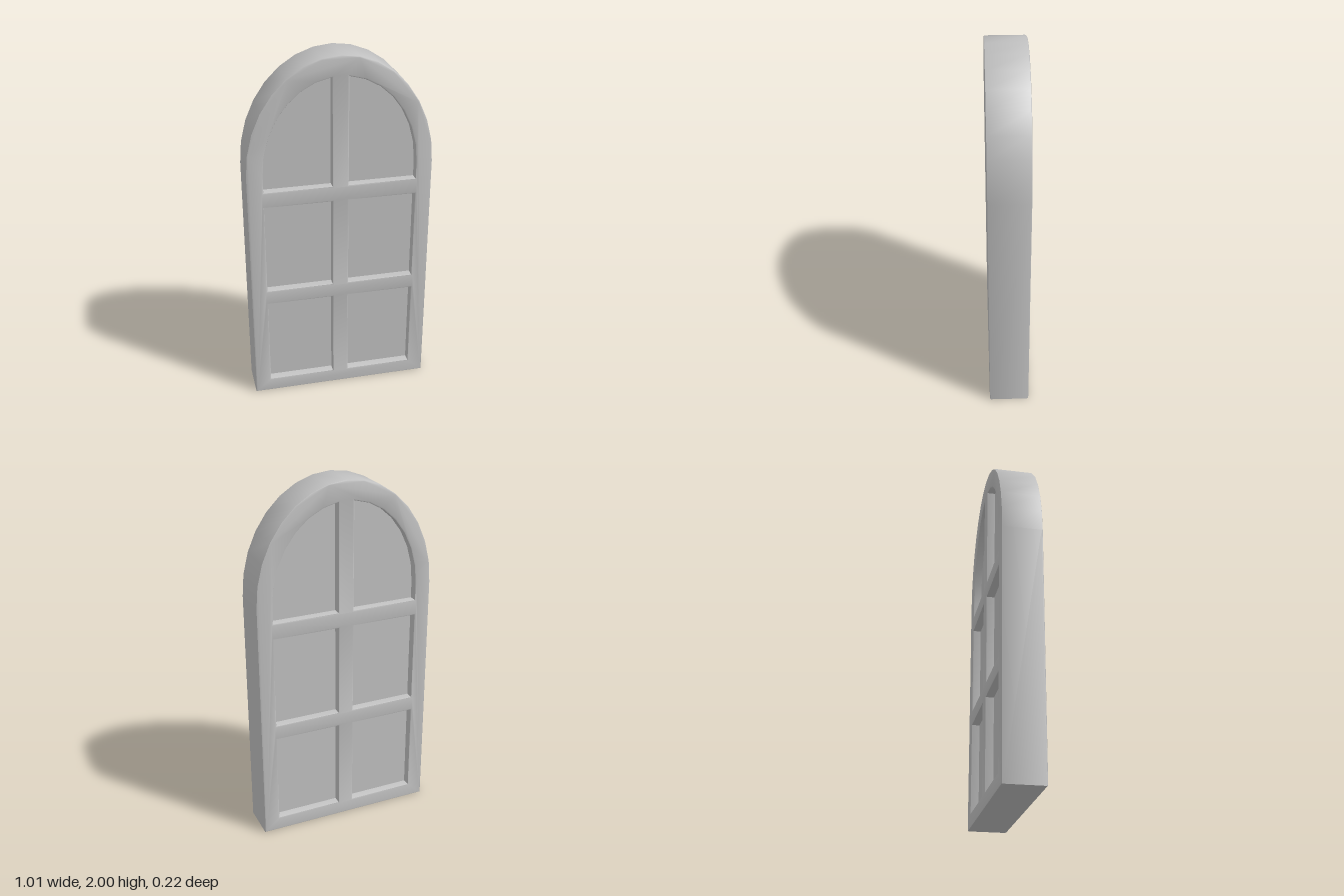
import * as THREE from 'three';
import { toCreasedNormals } from 'three/addons/utils/BufferGeometryUtils.js';

const SPRING = 1.38;      // height where the arch begins
const DEPTH = 0.222;
const BEVEL = 0.008;

// points of an elliptical arc around the arch centre
function arc(rx, ry, from, to, steps) {
  const pts = [];
  for (let i = 0; i <= steps; i++) {
    const a = from + (to - from) * i / steps;
    pts.push(new THREE.Vector2(rx * Math.cos(a), SPRING + ry * Math.sin(a)));
  }
  return pts;
}

// closed outline with a straight foot and an arched top
function archOutline(halfWidth, rise, bottom) {
  return [
    new THREE.Vector2(-halfWidth, bottom),
    new THREE.Vector2(halfWidth, bottom),
    ...arc(halfWidth, rise, 0, Math.PI, 16),
  ];
}

// one pane opening; side mirrors it across the middle bar
function opening(points, side) {
  return new THREE.Path(points.map(p => new THREE.Vector2(p.x * side, p.y)));
}

export function createModel() {
  const group = new THREE.Group();
  group.name = 'archedWindow';
  const grey = new THREE.MeshStandardMaterial({ color: 0xc0c0c0 });
  grey.name = 'grey';

  // frame with six openings
  const inner = 0.045, outer = 0.415, rise = 0.51;
  const shape = new THREE.Shape(archOutline(0.505, 0.62, 0));
  const rect = (y0, y1) => [
    new THREE.Vector2(inner, y0), new THREE.Vector2(outer, y0),
    new THREE.Vector2(outer, y1), new THREE.Vector2(inner, y1),
  ];
  const arched = [
    new THREE.Vector2(inner, 1.285), new THREE.Vector2(outer, 1.285),
    ...arc(outer, rise, 0, Math.acos(inner / outer), 7),
  ];
  for (const side of [-1, 1]) {
    for (const pts of [rect(0.08, 0.595), rect(0.68, 1.195), arched]) {
      shape.holes.push(opening(pts, side));
    }
  }
  const frameGeo = new THREE.ExtrudeGeometry(shape, {
    depth: DEPTH - 2 * BEVEL, bevelEnabled: true, bevelThickness: BEVEL,
    bevelSize: BEVEL, bevelOffset: -BEVEL, bevelSegments: 2,
  });
  frameGeo.translate(0, 0, -DEPTH / 2 + BEVEL);
  const frame = new THREE.Mesh(toCreasedNormals(frameGeo, 0.6), grey);
  frame.name = 'frame';
  group.add(frame);

  // recessed panel that fills all openings, seen from both sides
  const paneDepth = 0.13;
  const paneGeo = new THREE.ExtrudeGeometry(
    new THREE.Shape(archOutline(0.45, 0.555, 0.04)),
    { depth: paneDepth, bevelEnabled: false });
  paneGeo.translate(0, 0, -paneDepth / 2);
  const panes = new THREE.Mesh(paneGeo, grey);
  panes.name = 'panes';
  group.add(panes);

  return group;
}
